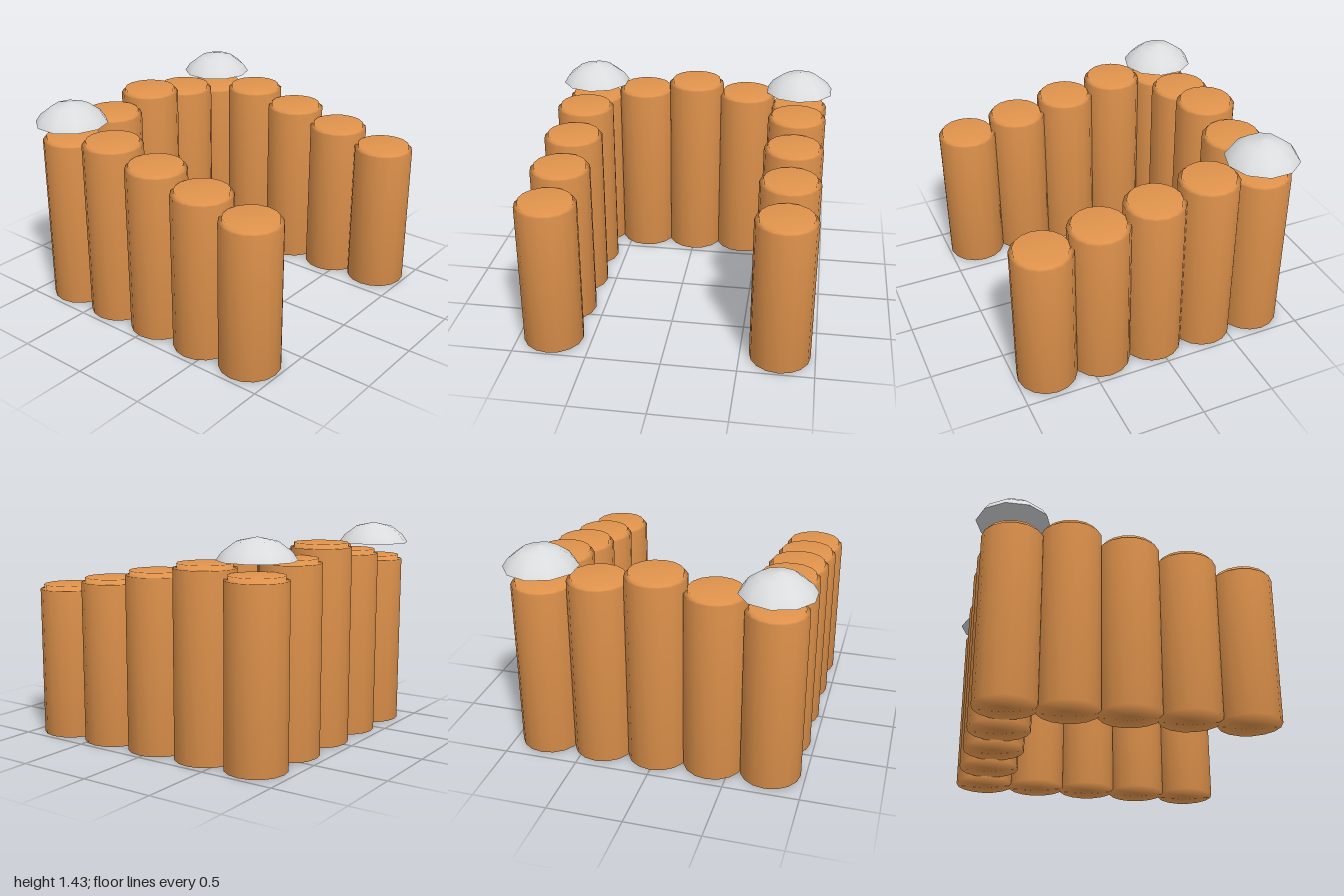
import * as THREE from 'three';

const wood = new THREE.MeshStandardMaterial({ name: 'orange wood', color: 0xe0934c });
const snow = new THREE.MeshStandardMaterial({ name: 'pale grey', color: 0xdadcde });

const lathe = (points, sides) =>
  new THREE.LatheGeometry(points.map(([r, y]) => new THREE.Vector2(r, y)), sides);

export function createModel() {
  const model = new THREE.Group();
  model.name = 'palisade';

  const add = (name, geometry, material, x, y, z) => {
    const mesh = new THREE.Mesh(geometry, material);
    mesh.name = name;
    mesh.position.set(x, y, z);
    model.add(mesh);
    return mesh;
  };

  // Round log with a small raised disc on top, softly shaded over its edges
  const addPost = (name, x, z, height) => {
    const ledge = height - 0.03;
    add(name, lathe([
      [0, 0], [0.203, 0], [0.203, ledge], [0.178, ledge], [0.178, height], [0, height],
    ], 16), wood, x, 0, z);
  };

  const backZ = -0.742, sideX = 0.765, spacing = 0.381;

  // Shallow ten-sided dome, floating just above each corner post
  const domeShape = lathe([[0.246, 0], [0.21, 0.052], [0.125, 0.115], [0, 0.141]], 10);
  const domeBase = new THREE.CircleGeometry(0.246, 10);
  domeBase.rotateZ(Math.PI / 2);
  domeBase.rotateX(Math.PI / 2);

  for (const [side, s] of [['left', 1], ['right', -1]]) {
    // Side rows step up towards the back
    [1.035, 1.108, 1.18, 1.25].forEach((height, i) =>
      addPost(side + 'Post' + (i + 1), s * sideX, backZ + spacing * (4 - i), height));
    addPost(side + 'CornerPost', s * sideX, backZ, 1.2);
    addPost(side + 'BackPost', s * spacing, backZ, 1.27);

    add(side + 'Dome', domeShape, snow, s * sideX, 1.287, backZ);
    add(side + 'DomeUnderside', domeBase, snow, s * sideX, 1.287, backZ);
  }
  addPost('centreBackPost', 0, backZ, 1.34);

  return model;
}
